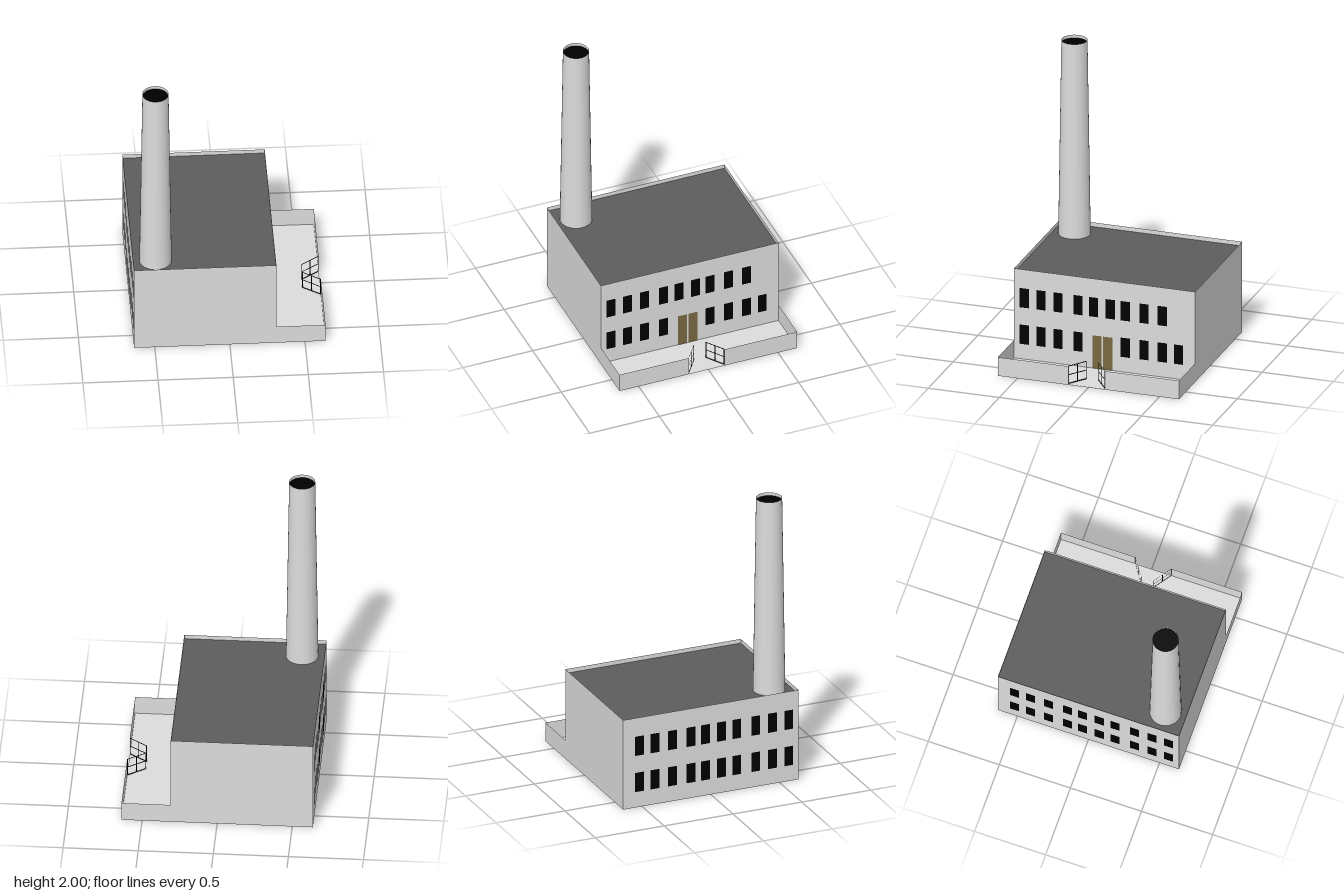
import * as THREE from 'three';

const mat = (name, color, side = THREE.FrontSide) => {
  const m = new THREE.MeshStandardMaterial({ color, side });
  m.name = name;
  return m;
};

export function createModel() {
  const model = new THREE.Group();
  model.name = 'factory';
  const concrete = mat('light grey concrete', 0xdcdcdc, THREE.DoubleSide);
  const tar = mat('dark grey roofing', 0x5d5d5d);
  const black = mat('black', 0x000000, THREE.DoubleSide);
  const wood = mat('olive brown door', 0x786842);

  const add = (name, geo, material, x = 0, y = 0, z = 0, parent = model) => {
    const mesh = new THREE.Mesh(geo, material);
    mesh.name = name;
    mesh.position.set(x, y, z);
    parent.add(mesh);
    return mesh;
  };
  // Thin upright wall between two ground points
  const wall = (name, x0, z0, x1, z1, h) => {
    const len = Math.hypot(x1 - x0, z1 - z0);
    const m = add(name, new THREE.PlaneGeometry(len, h), concrete, (x0 + x1) / 2, h / 2, (z0 + z1) / 2);
    m.rotation.y = Math.atan2(-(z1 - z0), x1 - x0);
  };
  // Horizontal face between two x positions, full depth
  const deck = (name, x0, x1, y, material) =>
    add(name, new THREE.PlaneGeometry(x1 - x0, 2 * E).rotateX(-Math.PI / 2), material, (x0 + x1) / 2, y, 0);

  const E = 0.637, X = 0.31, H = 0.645, YH = 0.133;
  const gateL = 0.14, gateR = -0.115;

  // Main hall: walls rise past the roof as a parapet
  wall('hallFront', -E, E, X, E, H);
  wall('hallRight', X, E, X, -E, H);
  wall('hallBack', X, -E, -E, -E, H);
  wall('hallLeft', -E, -E, -E, E, H);
  deck('roof', -E, X, 0.615, tar);
  deck('base', -E, E, 0, concrete);

  // Walled yard with a gate opening
  deck('yardFloor', X, E, 0.005, concrete);
  wall('yardWallFront', X, E, E, E, YH);
  wall('yardWallBack', E, -E, X, -E, YH);
  wall('yardWallSideA', E, E, E, gateL, YH);
  wall('yardWallSideB', E, gateR, E, -E, YH);

  // Windows on both long sides
  const zs = [0.565, 0.448, 0.326, 0.188, 0.077, -0.04, -0.146, -0.279, -0.406, -0.52];
  const OFF = 0.002;
  const pane = new THREE.PlaneGeometry(0.064, 0.138).rotateY(Math.PI / 2);
  zs.forEach((z, i) => {
    for (const y of [0.181, 0.442]) {
      add('windowLeft', pane, black, -E - OFF, y, z).rotation.y = Math.PI;
      const skip = y > 0.3 ? i === 9 : i === 4 || i === 5;
      if (!skip) add('windowRight', pane, black, X + OFF, y, z);
    }
  });

  // Double door
  const leaf = new THREE.PlaneGeometry(0.066, 0.235).rotateY(Math.PI / 2);
  for (const z of [0.053, -0.024]) add('doorLeaf', leaf, wood, X + OFF, 0.1225, z);

  // Flat gate leaves, swung open into the yard
  const L = 0.147, T = 0.006, top = 0.138, low = 0.008;
  const post = new THREE.PlaneGeometry(T, top - low);
  const rail = new THREE.PlaneGeometry(L, T);
  for (const [z, dir] of [[gateL, -1], [gateR, 1]]) {
    const gate = new THREE.Group();
    gate.name = 'gate';
    gate.position.set(E, 0, z);
    gate.rotation.y = Math.atan2(-dir * 0.085, -0.12);
    for (const x of [T / 2, L / 2, L - T / 2]) add('gatePost', post, black, x, (top + low) / 2, 0, gate);
    for (const y of [low + T / 2, (top + low) / 2, top - T / 2]) add('gateRail', rail, black, L / 2, y, 0, gate);
    model.add(gate);
  }

  // Tapered chimney with a faceted open shaft and a dark mouth
  const y0 = 0.615, y1 = 2;
  const shaft = new THREE.CylinderGeometry(0.087, 0.108, y1 - y0, 32, 1, true).toNonIndexed();
  shaft.computeVertexNormals();
  add('chimney', shaft, concrete, -0.486, (y0 + y1) / 2, 0.49);
  add('chimneyMouth', new THREE.CircleGeometry(0.086, 32).rotateX(-Math.PI / 2), black, -0.486, 1.978, 0.49);

  return model;
}
